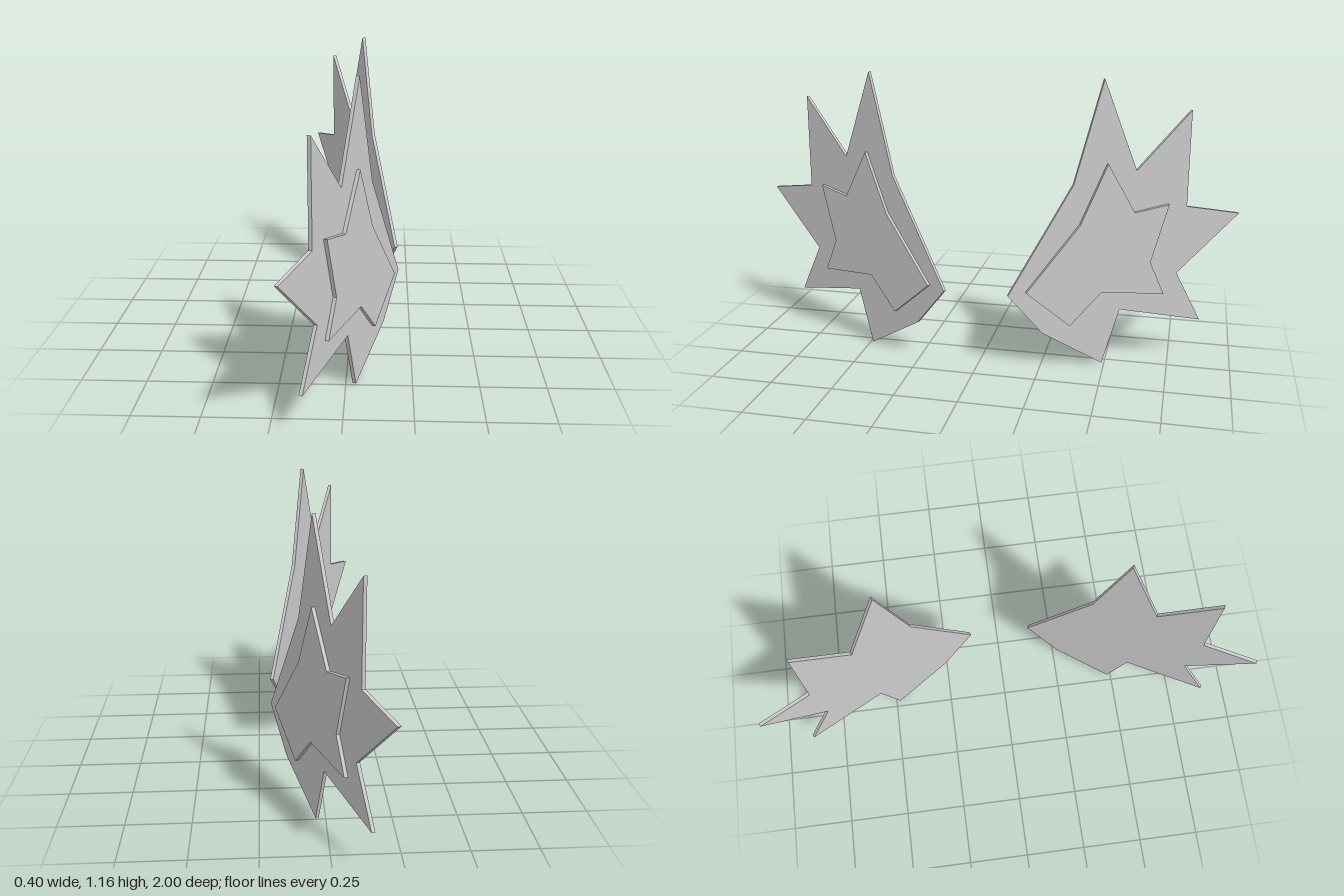
import * as THREE from 'three';

const THICK = 0.014;
const SLOPE = 0.441; // how far each fin leans inward (x per unit z)
const ANGLE = Math.atan2(1, SLOPE);

// outlines as [z, y] seen from the model's +x side
const finOutline = [
  [0.467, 1.16], [0.365, 0.755], [0.13, 0.318], [0.26, 0.15], [0.49, 0], [0.553, 0.228],
  [0.87, 0.157], [0.768, 0.368], [1.0, 0.605], [0.794, 0.645], [0.794, 1.03], [0.597, 0.8],
];
const panelOutline = [
  [0.492, 0.835], [0.395, 0.595], [0.2, 0.33], [0.365, 0.178], [0.482, 0.312],
  [0.722, 0.287], [0.665, 0.425], [0.727, 0.66], [0.598, 0.634],
];

// upright plate whose outer face crosses z = 0 at x = faceX; side is +1 or -1 in z
function plate(name, outline, faceX, side, material) {
  const pts = outline.map(([z, y]) => new THREE.Vector2((-side * z) / Math.sin(ANGLE), y));
  const geo = new THREE.ExtrudeGeometry(new THREE.Shape(pts), { depth: THICK, bevelEnabled: false });
  geo.translate(0, 0, -THICK);
  const mesh = new THREE.Mesh(geo, material);
  mesh.name = name;
  mesh.rotation.y = side > 0 ? ANGLE : Math.PI - ANGLE;
  mesh.position.x = faceX;
  return mesh;
}

export function createModel() {
  const model = new THREE.Group();
  model.name = 'spikedFins';
  const grey = new THREE.MeshStandardMaterial({ color: 0xcccccc });
  grey.name = 'light grey';

  // a pair of spiked fins, each with a raised star panel on its outer face
  for (const side of [1, -1]) {
    const fin = new THREE.Group();
    fin.name = side > 0 ? 'frontFin' : 'backFin';
    const faceX = 0.254;
    fin.add(plate('spikedPlate', finOutline, faceX, side, grey));
    fin.add(plate('raisedPanel', panelOutline, faceX + THICK / Math.sin(ANGLE), side, grey));
    model.add(fin);
  }
  return model;
}
